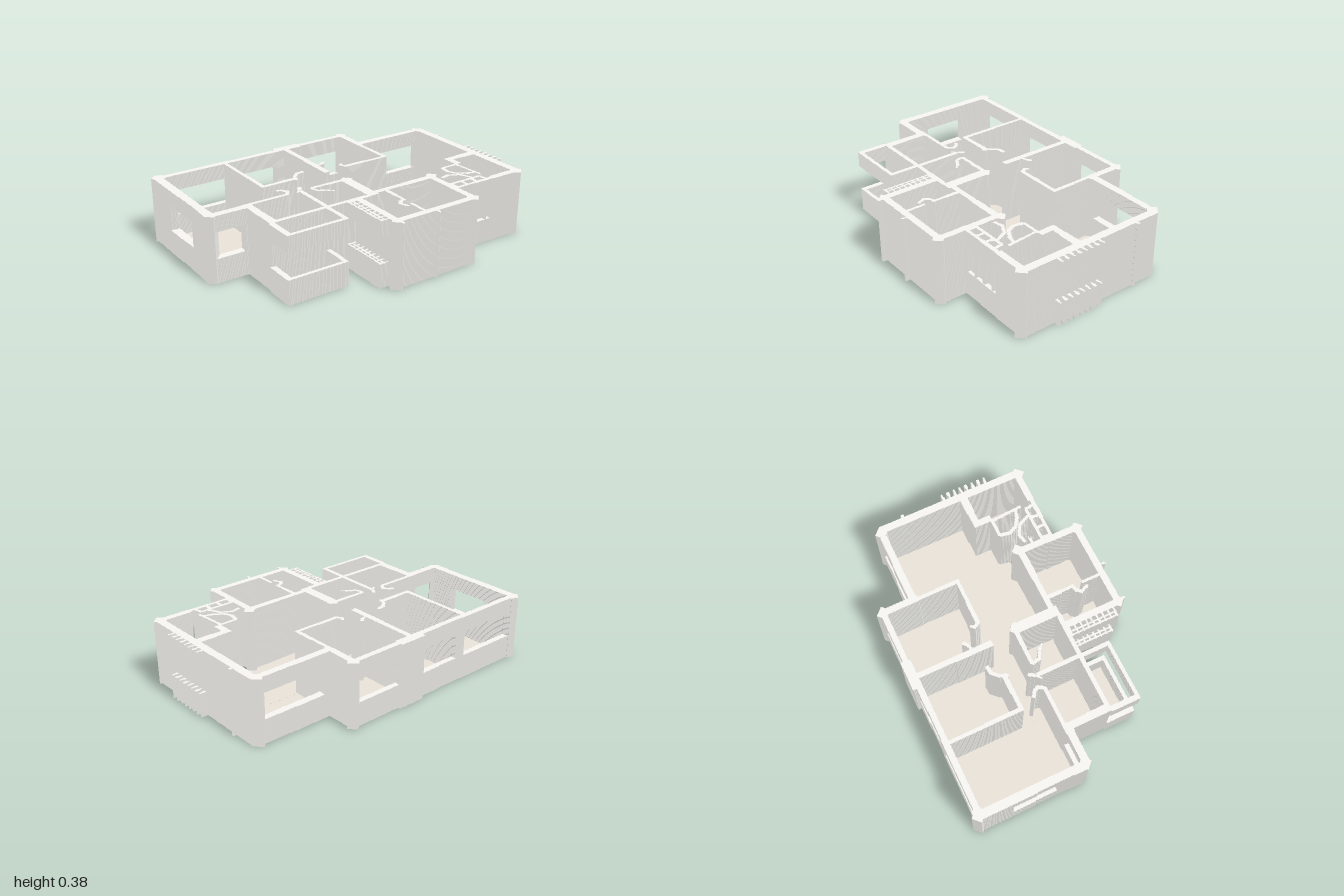
import * as THREE from 'three';

const H = 0.38, SILL = 0.14, HEAD = 0.29, STEP = 0.005;

export function createModel() {
  const plan = new THREE.Group();
  plan.name = 'floorPlan';

  const wallMat = new THREE.MeshStandardMaterial({ color: 0xf9f8f4, flatShading: true });
  const floorMat = new THREE.MeshStandardMaterial({ color: 0xece5da, flatShading: true });

  // plan axes (u, v) lie at 45 degrees; snap to the grid as (x, -z) in whole steps
  const toGrid = ([u, v]) => [
    Math.round((u + v) * Math.SQRT1_2 / STEP), Math.round((u - v) * Math.SQRT1_2 / STEP)];

  // upright prism whose slanted sides are fine stair-steps along x and z
  function prism(name, corners, y0 = 0, y1 = H, mat = wallMat) {
    const ring = corners.map(toGrid);
    if (THREE.ShapeUtils.isClockWise(ring.map(([x, y]) => ({ x, y })))) ring.reverse();
    const pts = [];
    const add = (x, y) => {
      const last = pts[pts.length - 1];
      if (!last || last.x !== x * STEP || last.y !== y * STEP) pts.push(new THREE.Vector2(x * STEP, y * STEP));
    };
    ring.forEach(([ax, ay], k) => {
      const [bx, by] = ring[(k + 1) % ring.length];
      const dx = bx - ax, dy = by - ay, n = Math.min(Math.abs(dx), Math.abs(dy)) || 1;
      let px = ax, py = ay;
      add(px, py);
      for (let i = 1; i <= n; i++) {
        const x = ax + Math.round(dx * i / n), y = ay + Math.round(dy * i / n);
        if (dx * dy > 0) add(x, py); else add(px, y);
        add(x, y);
        px = x;
        py = y;
      }
    });
    pts.pop();
    const g = new THREE.ExtrudeGeometry(new THREE.Shape(pts), { depth: y1 - y0, bevelEnabled: false });
    g.rotateX(-Math.PI / 2);
    const m = new THREE.Mesh(g, mat);
    m.position.y = y0;
    m.name = name;
    plan.add(m);
  }
  const box = (name, u0, u1, v0, v1, y0, y1, mat) =>
    prism(name, [[u0, v0], [u0, v1], [u1, v1], [u1, v0]], y0, y1, mat);

  // sill and lintel with an open band between
  function bands(name, u0, u1, v0, v1) {
    box(name + 'Sill', u0, u1, v0, v1, 0, SILL);
    box(name + 'Lintel', u0, u1, v0, v1, HEAD, H);
  }
  // square post with cut corners
  function post(u, v, r = 0.035, a = 0.005) {
    const pts = [[r, a], [a, r], [-a, r], [-r, a], [-r, -a], [-a, -r], [a, -r], [r, -a]];
    prism('cornerPost', pts.map(([x, y]) => [u + x, v + y]));
  }
  // thin partition following a polyline
  function strip(name, pts, t = 0.014) {
    for (let i = 0; i < pts.length - 1; i++) {
      const [a, b] = pts[i], [c, d] = pts[i + 1], l = Math.hypot(c - a, d - b);
      const p = (c - a) / l * t / 2, q = (d - b) / l * t / 2;
      prism(name, [[a - p - q, b - q + p], [c + p - q, d + q + p], [c + p + q, d + q - p], [a - p + q, b - q - p]]);
    }
  }

  // floors: u0, u1, v0, v1
  [
    [-0.85, -0.46, -0.50, 0.09], [-0.46, -0.05, -0.50, -0.07], [-0.04, 0.36, -0.51, -0.07],
    [0.37, 0.83, -0.325, 0.17], [-0.46, 0.37, -0.07, 0.09], [-0.03, 0.64, 0.09, 0.33],
    [0.37, 0.64, -0.07, 0.17], [0.685, 0.83, 0.20, 0.52], [0.07, 0.39, 0.34, 0.67],
    [-0.12, 0.07, 0.345, 0.67], [-0.31, -0.05, 0.09, 0.345], [-0.63, -0.32, 0.09, 0.345],
    [-0.65, -0.33, 0.355, 0.52], [0.53, 0.625, 0.27, 0.40], [0.42, 0.55, 0.38, 0.48],
  ].forEach(([a, b, c, d], i) => box('floor', a, b, c, d, 0.003 + i * 0.0002, 0.01 + i * 0.0002, floorMat));

  // underside of the wet rooms, facing down only
  const underside = new THREE.Mesh(new THREE.PlaneGeometry(0.43, 0.36), floorMat);
  underside.rotation.set(Math.PI / 2, 0, -Math.PI / 4);
  underside.position.set(0.965 * Math.SQRT1_2, 0.002, -0.265 * Math.SQRT1_2);
  underside.name = 'floorUnderside';
  plan.add(underside);

  // north-west facade
  box('facadePier', -0.865, -0.83, -0.54, -0.49);
  bands('facadeWindow', -0.83, -0.45, -0.525, -0.495);
  box('facadePier', -0.45, -0.39, -0.525, -0.495);
  bands('facadeWindow', -0.39, -0.11, -0.525, -0.495);
  box('facadePier', -0.11, 0.06, -0.545, -0.495);
  bands('facadeWindow', 0.06, 0.345, -0.535, -0.505);
  box('facadeReturn', 0.355, 0.39, -0.515, -0.31);
  bands('facadeWindow', 0.42, 0.80, -0.355, -0.318);
  box('facadePier', 0.37, 0.42, -0.355, -0.318);

  // south-west end wall with its window
  box('endWall', -0.89, -0.845, -0.515, -0.325);
  bands('endWindow', -0.89, -0.845, -0.325, -0.06);
  box('endWall', -0.89, -0.845, -0.06, 0.10);
  bands('gardenWindow', -0.86, -0.68, 0.088, 0.128);
  box('gardenWall', -0.68, -0.625, 0.085, 0.13);
  box('gardenWall', -0.63, -0.46, 0.082, 0.102);

  // north-east wall with fins
  box('endWall', 0.825, 0.868, -0.335, 0.54);
  for (let i = 0; i < 8; i++) bands('fin', 0.865, 0.905, 0.07 + i * 0.038, 0.08 + i * 0.038);
  box('fin', 0.86, 0.885, -0.19, -0.178);

  // corner posts
  [[-0.865, -0.515], [-0.86, 0.10], [0.37, -0.518], [0.83, -0.335], [0.84, 0.535],
    [0.395, 0.325], [0.375, 0.685], [-0.125, 0.685], [-0.028, 0.105]].forEach(([u, v]) => post(u, v));

  // bedroom partitions
  box('partition', -0.465, -0.445, -0.50, -0.06);
  box('partition', -0.455, -0.24, -0.082, -0.06);
  box('partition', -0.062, -0.032, -0.50, -0.05);
  box('partition', 0.355, 0.375, -0.33, -0.06);
  box('partition', 0.09, 0.375, -0.08, -0.06);

  // east bathroom
  box('bathWall', 0.63, 0.83, 0.16, 0.20);
  box('bathWall', 0.63, 0.665, 0.17, 0.27);
  box('bathWall', 0.655, 0.86, 0.515, 0.55);
  box('bathWall', 0.525, 0.635, 0.262, 0.277);
  strip('bathPartition', [[0.625, 0.27], [0.638, 0.45]]);
  strip('curvedScreen', [[0.523, 0.278], [0.512, 0.327], [0.535, 0.372], [0.584, 0.406], [0.637, 0.421]]);
  strip('curvedScreen', [[0.43, 0.38], [0.478, 0.369], [0.535, 0.402], [0.565, 0.463], [0.546, 0.512]]);
  bands('bathWindow', 0.40, 0.658, 0.525, 0.543);
  bands('bathWindow', 0.40, 0.61, 0.472, 0.484);
  [0.40, 0.47, 0.54, 0.61].forEach(u => box('bathWindowFrame', u, u + 0.014, 0.475, 0.54));

  // south-east rooms
  box('roomWall', 0, 0.40, 0.315, 0.35);
  box('roomWall', 0.365, 0.402, 0.325, 0.69);
  box('outerWall', -0.125, 0.385, 0.668, 0.705);
  box('roomWall', 0.056, 0.072, 0.35, 0.50);
  box('roomWall', 0.056, 0.072, 0.56, 0.67);
  box('roomWall', -0.145, -0.112, 0.35, 0.69);
  box('roomWall', -0.11, 0.0, 0.345, 0.362);
  [0.11, -0.125].forEach(u => box('fin', u, u + 0.012, 0.70, 0.73));

  // louvred window beside the south-east rooms
  [-0.20, -0.178].forEach(u => bands('louvreRail', u, u + 0.01, 0.36, 0.65));
  for (let i = 0; i < 9; i++) bands('louvre', -0.20, -0.145, 0.365 + i * 0.034, 0.373 + i * 0.034);

  // central rooms
  box('coreWall', -0.055, 0.0, 0.085, 0.345);
  box('coreWall', -0.25, -0.055, 0.085, 0.105);
  box('coreWall', -0.33, -0.308, 0.09, 0.35);
  box('coreWall', -0.56, -0.40, 0.085, 0.102);
  box('coreWall', -0.65, -0.07, 0.342, 0.36);
  box('coreWall', -0.665, -0.625, 0.10, 0.36);

  // balcony, open all round between parapet and upper band
  bands('balconyEnd', -0.67, -0.642, 0.36, 0.53);
  bands('balconyFront', -0.67, -0.312, 0.512, 0.532);
  bands('balconyEnd', -0.334, -0.312, 0.36, 0.53);

  // door leaves, slightly bowed
  [
    [[-0.25, -0.06], [-0.235, -0.10], [-0.20, -0.13], [-0.165, -0.135]],
    [[-0.025, -0.17], [0.0, -0.178], [0.015, -0.19]],
    [[0.09, -0.07], [0.075, -0.10], [0.09, -0.115]],
    [[-0.25, 0.10], [-0.24, 0.14], [-0.19, 0.17], [-0.17, 0.19]],
    [[-0.40, 0.09], [-0.38, 0.06], [-0.40, 0.03], [-0.42, 0.02]],
    [[-0.34, 0.10], [-0.31, 0.07], [-0.30, 0.05]],
    [[0.065, 0.50], [0.035, 0.505], [0.015, 0.53], [0.03, 0.57]],
  ].forEach(p => strip('doorLeaf', p));

  return plan;
}
